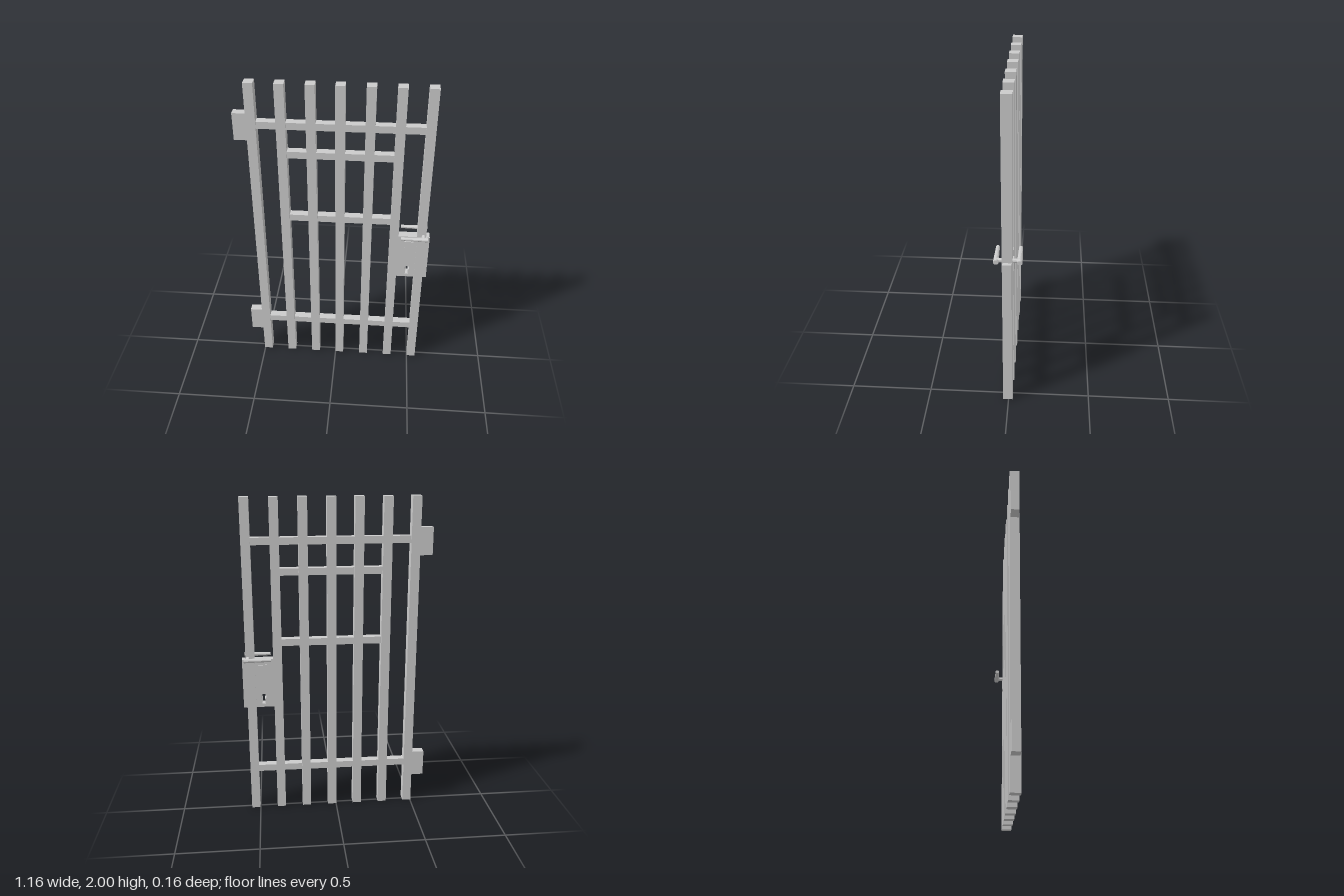
import * as THREE from 'three';

export function createModel() {
  const gate = new THREE.Group();
  gate.name = 'barredGate';
  const mat = new THREE.MeshStandardMaterial({ color: 0xcccccc, flatShading: true });
  const midZ = 0.004;

  const add = (name, geometry, x, y, z) => {
    const mesh = new THREE.Mesh(geometry, mat);
    mesh.name = name;
    mesh.position.set(x, y, z);
    gate.add(mesh);
    return mesh;
  };
  const box = (name, w, h, d, x, y, z = midZ) => add(name, new THREE.BoxGeometry(w, h, d), x, y, z);

  // Upright bars
  const barX = [-0.476, -0.308, -0.139, 0.026, 0.194, 0.361, 0.529];
  barX.forEach((x, i) => box(`uprightBar${i + 1}`, 0.055, 2, 0.06, x, 1, midZ));

  // Horizontal rails: two full width, two short ones between the inner bars
  const rails = [[1.748, 0, 6], [1.566, 1, 5], [1.131, 1, 5], [0.285, 0, 6]];
  rails.forEach(([y, a, b], i) =>
    box(`rail${i + 1}`, barX[b] - barX[a], 0.043, 0.048, (barX[a] + barX[b]) / 2, y));

  // Hinge blocks
  box('upperHinge', 0.106, 0.166, 0.05, -0.527, 1.735);
  box('lowerHinge', 0.106, 0.166, 0.05, -0.527, 0.271);

  // Lock case with a keyhole cut through
  const lock = new THREE.Shape();
  lock.moveTo(0.36, 0.714).lineTo(0.579, 0.714).lineTo(0.579, 1.028).lineTo(0.36, 1.028).closePath();
  const keyhole = new THREE.Path();
  keyhole.moveTo(0.443, 0.735);
  keyhole.lineTo(0.446, 0.767);
  keyhole.absarc(0.453, 0.783, 0.0165, -2, -1.14, true);
  keyhole.lineTo(0.463, 0.735);
  keyhole.closePath();
  lock.holes.push(keyhole);
  const lockDepth = 0.052;
  add('lockCase', new THREE.ExtrudeGeometry(lock, { depth: lockDepth, bevelEnabled: false, curveSegments: 10 }),
    0, 0, midZ - lockDepth / 2);

  // Raised plate on both faces of the lock
  box('lockPlate', 0.054, 0.068, 0.068, 0.455, 0.959);

  // Spindle through the bar and a tapered lever at each end
  const spindle = add('handleSpindle', new THREE.CylinderGeometry(0.0125, 0.0125, 0.134, 12), 0.541, 1.037, 0);
  spindle.rotation.x = Math.PI / 2;
  for (const side of [1, -1]) {
    const lever = new THREE.CylinderGeometry(0.0115, 0.016, 0.163, 12);
    lever.rotateZ(Math.PI / 2);
    lever.scale(1, 0.85, 1);
    add(side > 0 ? 'frontLever' : 'backLever', lever, 0.484, 1.036, side * 0.066);
  }
  return gate;
}
